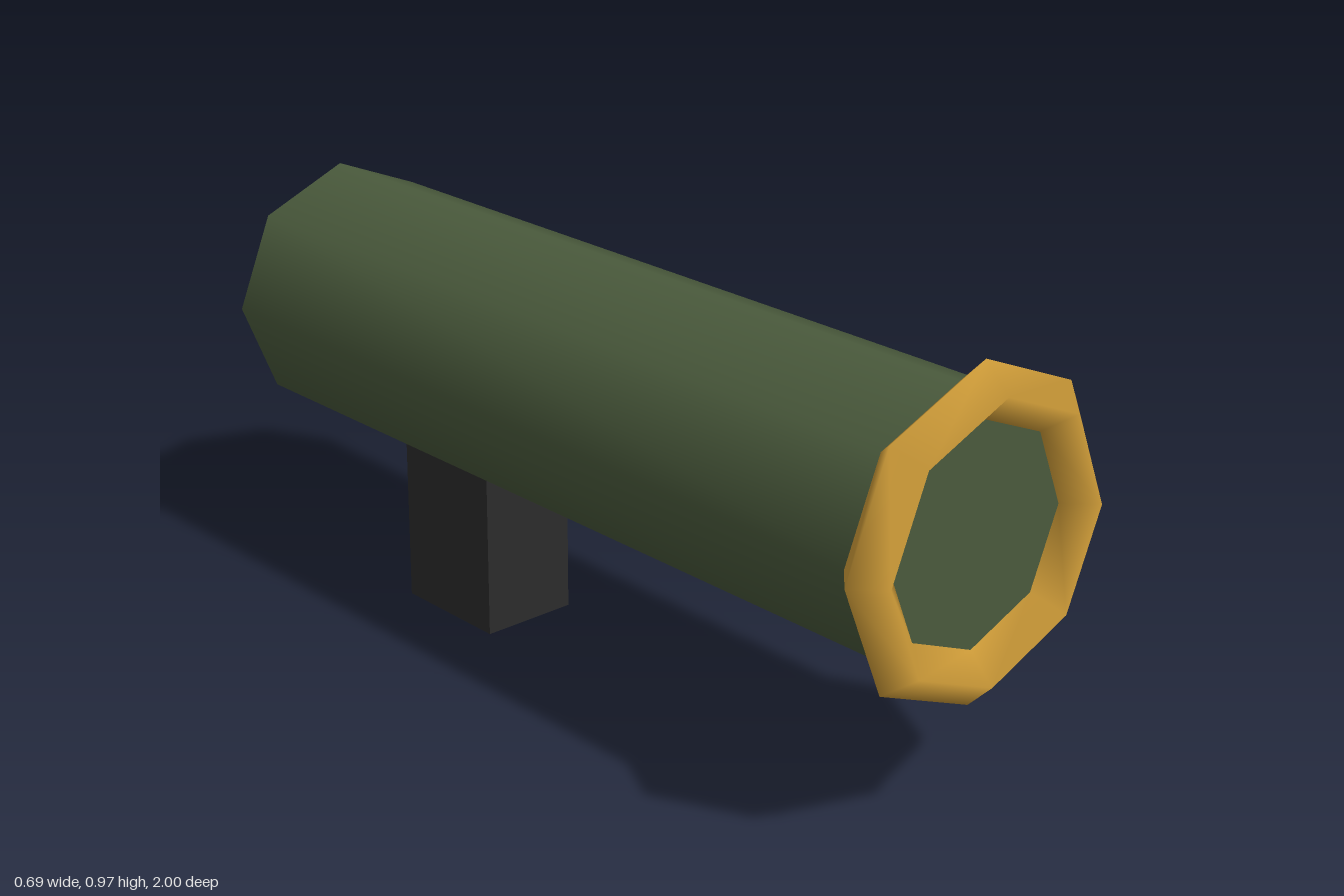
import * as THREE from 'three';

const material = (name, color) => {
  const m = new THREE.MeshStandardMaterial({ color });
  m.name = name;
  return m;
};

export function createModel() {
  const green = material('olive green', 0x4a5a3c);
  const gold = material('gold', 0xd4a03a);
  const black = material('dark grey', 0x2c2c2c);

  const axisY = 0.63, radius = 0.286, rimRadius = 0.057;
  const rimZ = 1 - rimRadius;
  const model = new THREE.Group();
  model.name = 'launcherTube';

  const add = (name, geometry, mat, x, y, z) => {
    const mesh = new THREE.Mesh(geometry, mat);
    mesh.name = name;
    mesh.position.set(x, y, z);
    model.add(mesh);
  };

  // Eight-sided barrel, running from the back to the middle of the rim
  const length = rimZ + 1;
  const barrel = new THREE.CylinderGeometry(radius, radius, length, 8).rotateX(Math.PI / 2);
  add('barrel', barrel, green, 0, axisY, rimZ - length / 2);

  // Muzzle rim with a diamond section
  add('muzzleRim', new THREE.TorusGeometry(radius, rimRadius, 4, 8), gold, 0, axisY, rimZ);

  // Grip block under the rear half
  const gripHeight = 0.4;
  add('grip', new THREE.BoxGeometry(0.228, gripHeight, 0.285), black, 0, gripHeight / 2, -0.485);

  return model;
}
